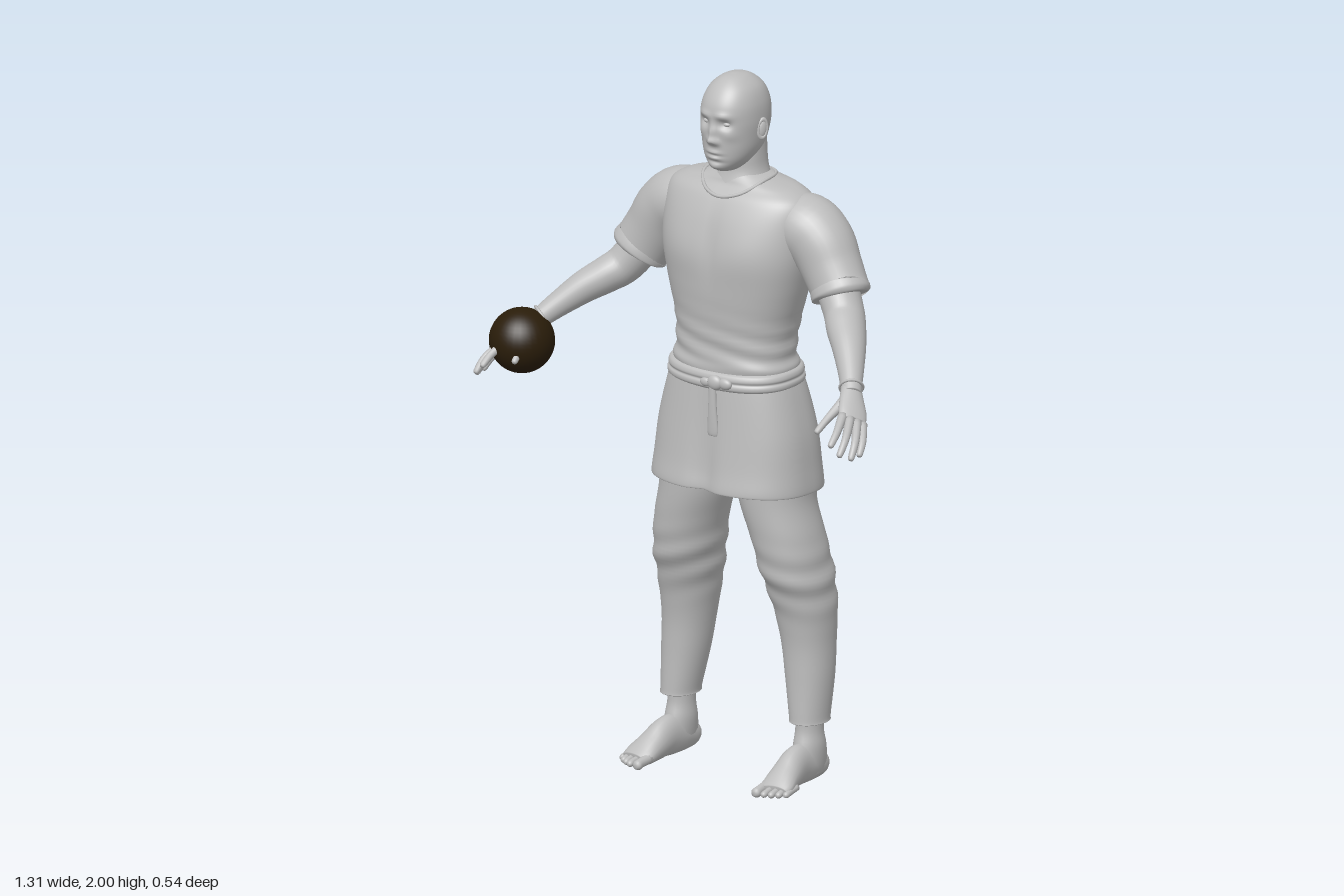
import * as THREE from 'three';

const V = (x, y, z) => new THREE.Vector3(x, y, z);
const gauss = (d, s) => Math.exp(-(d * d) / (s * s));

// Catmull-Rom interpolation of number rows, n steps between neighbours
function smooth(rows, n) {
  const out = [];
  const at = k => rows[Math.min(rows.length - 1, Math.max(0, k))];
  for (let i = 0; i < rows.length - 1; i++) {
    for (let j = 0; j < n; j++) {
      const t = j / n, a = at(i - 1), b = at(i), c = at(i + 1), d = at(i + 2);
      out.push(b.map((q, k) => 0.5 * (2 * q + (c[k] - a[k]) * t +
        (2 * a[k] - 5 * q + 4 * c[k] - d[k]) * t * t + (3 * q - a[k] - 3 * c[k] + d[k]) * t ** 3)));
    }
  }
  out.push(at(rows.length - 1));
  return out;
}

// Skin a list of rings, optionally closing both ends
function loft(rings, capped) {
  const n = rings[0].length, pos = [], idx = [];
  rings.forEach(r => r.forEach(p => pos.push(p.x, p.y, p.z)));
  for (let i = 0; i < rings.length - 1; i++) {
    for (let j = 0; j < n; j++) {
      const k = (j + 1) % n, a = i * n + j, b = a + n, c = (i + 1) * n + k, d = i * n + k;
      idx.push(a, b, c, a, c, d);
    }
  }
  if (capped) {
    [0, rings.length - 1].forEach((r, end) => {
      const m = V(0, 0, 0);
      rings[r].forEach(p => m.addScaledVector(p, 1 / n));
      const centre = pos.length / 3;
      pos.push(m.x, m.y, m.z);
      for (let j = 0; j < n; j++) {
        const a = r * n + j, b = r * n + (j + 1) % n;
        if (end) idx.push(centre, b, a); else idx.push(centre, a, b);
      }
    });
  }
  const g = new THREE.BufferGeometry();
  g.setAttribute('position', new THREE.Float32BufferAttribute(pos, 3));
  g.setIndex(idx);
  g.computeVertexNormals();
  return g;
}

// Level rings from top to bottom: [y, centreX, radiusX, zFront, zBack]
function body(rows, { seg = 64, steps = 5, power = 2.2, capped = false, deform } = {}) {
  const bend = q => Math.sign(q) * Math.abs(q) ** (2 / power);
  return loft(smooth(rows, steps).map(([y, cx, rx, zf, zb]) => Array.from({ length: seg }, (_, j) => {
    const a = j / seg * Math.PI * 2;
    const p = V(cx + rx * bend(Math.sin(a)), y, (zf + zb) / 2 + (zf - zb) / 2 * bend(Math.cos(a)));
    if (deform) deform(p, Math.cos(a), Math.sin(a));
    return p;
  })), capped);
}

// Rings across a path: [x, y, z, radius along "wide", other radius]
function limb(rows, { seg = 20, steps = 5, wide = V(0, 0, 1), deform } = {}) {
  const s = smooth(rows, steps);
  return loft(s.map((r, i) => {
    const a = s[Math.max(0, i - 1)], b = s[Math.min(s.length - 1, i + 1)];
    const t = V(b[0] - a[0], b[1] - a[1], b[2] - a[2]).normalize();
    const v = wide.clone().addScaledVector(t, -wide.dot(t)).normalize();
    const u = v.clone().cross(t);
    return Array.from({ length: seg }, (_, j) => {
      const q = j / seg * Math.PI * 2;
      const p = V(r[0], r[1], r[2]).addScaledVector(v, r[3] * Math.cos(q)).addScaledVector(u, (r[4] ?? r[3]) * Math.sin(q));
      if (deform) deform(p);
      return p;
    });
  }), true);
}

export function createModel() {
  const model = new THREE.Group();
  const grey = new THREE.MeshStandardMaterial({ color: 0xbcbcbc, side: THREE.DoubleSide });
  grey.name = 'pale grey';
  const brown = new THREE.MeshStandardMaterial({ color: 0x2a1d0a });
  brown.name = 'dark brown';
  const add = (name, geo, mat = grey) => {
    const m = new THREE.Mesh(geo, mat);
    m.name = name;
    model.add(m);
    return m;
  };
  const ball = (name, r, x, y, z, sx = 1, sy = 1, sz = 1, mat = grey) => {
    const m = add(name, new THREE.SphereGeometry(r, 32, 24), mat);
    m.position.set(x, y, z);
    m.scale.set(sx, sy, sz);
    return m;
  };

  // Head; each face feature is [x, y, spreadX, spreadY, push]
  const features = [[0, 1.829, 0.012, 0.011, 0.018], [0, 1.85, 0.01, 0.02, 0.012], [0.014, 1.825, 0.008, 0.008, 0.007],
    [0.033, 1.876, 0.018, 0.013, -0.014], [0.03, 1.9, 0.024, 0.009, 0.006], [0.05, 1.845, 0.018, 0.015, 0.004],
    [0, 1.794, 0.022, 0.006, 0.006], [0, 1.786, 0.024, 0.003, -0.004], [0, 1.778, 0.018, 0.006, 0.006],
    [0, 1.766, 0.025, 0.005, -0.004], [0, 1.75, 0.02, 0.012, 0.006]];
  add('head', body([[2, 0, 0.006, -0.085, -0.1], [1.992, 0, 0.035, -0.05, -0.14], [1.965, 0, 0.066, -0.016, -0.176],
    [1.925, 0, 0.082, 0.008, -0.197], [1.88, 0, 0.086, 0.013, -0.202], [1.84, 0, 0.083, 0.01, -0.195],
    [1.8, 0, 0.076, 0.008, -0.178], [1.77, 0, 0.063, 0.005, -0.15], [1.748, 0, 0.045, -0.002, -0.13], [1.735, 0, 0.028, -0.02, -0.11]],
  { seg: 96, steps: 8, capped: true, deform: (p, front) => {
    if (front <= 0.2) return;
    features.forEach(([x, y, sx, sy, d]) => { p.z += d * gauss(Math.abs(p.x) - x, sx) * gauss(p.y - y, sy); });
  } }));
  add('neck', body([[1.84, 0, 0.068, -0.06, -0.185], [1.77, 0, 0.068, -0.058, -0.188], [1.72, 0, 0.074, -0.056, -0.192],
    [1.66, 0, 0.1, -0.035, -0.2]], { seg: 40 }));

  // Shirt with chest, shoulder blades, spine hollow and waist folds
  add('shirt', body([[1.718, 0, 0.078, -0.06, -0.19], [1.703, 0, 0.12, -0.052, -0.2], [1.686, 0, 0.185, -0.043, -0.215],
    [1.655, 0, 0.228, -0.015, -0.235], [1.59, 0, 0.236, 0.015, -0.255], [1.5, 0, 0.23, 0.036, -0.258], [1.41, 0, 0.211, 0.036, -0.252],
    [1.3, 0, 0.183, 0.028, -0.236], [1.22, 0, 0.177, 0.026, -0.22], [1.185, 0, 0.186, 0.031, -0.226], [1.165, 0, 0.183, 0.028, -0.222]],
  { seg: 96, steps: 6, power: 2.3, deform: (p, front, side) => {
    const x = p.x, y = p.y;
    if (front < 0) {
      p.z += 0.02 * gauss(x, 0.035) * gauss(y - 1.43, 0.2);
      p.z -= 0.016 * gauss(Math.abs(x) - 0.1, 0.055) * gauss(y - 1.55, 0.1);
    } else {
      p.z += 0.005 * gauss(Math.abs(x) - 0.1, 0.07) * gauss(y - 1.52, 0.07);
      p.z -= 0.006 * gauss(x, 0.02) * gauss(y - 1.53, 0.09);
    }
    const fold = 0.003 * gauss(y - 1.25, 0.07) * Math.sin(y * 110 + 4 * side);
    p.x += fold * side;
    p.z += fold * front;
  } }));
  const collar = new THREE.CatmullRomCurve3([V(0, 1.662, -0.016), V(0.06, 1.675, -0.034), V(0.1, 1.706, -0.085),
    V(0.088, 1.712, -0.16), V(0, 1.708, -0.196), V(-0.088, 1.712, -0.16), V(-0.1, 1.706, -0.085), V(-0.06, 1.675, -0.034)], true);
  add('collar', new THREE.TubeGeometry(collar, 64, 0.005, 8, true));

  // Skirt of the tunic, with a hem turned inwards
  add('skirt', body([[1.18, 0, 0.18, 0.025, -0.22], [1.11, 0, 0.205, 0.034, -0.238], [1, 0, 0.232, 0.047, -0.258],
    [0.9, 0, 0.243, 0.06, -0.27], [0.845, 0, 0.248, 0.07, -0.277], [0.832, 0, 0.245, 0.068, -0.274], [0.842, 0, 0.23, 0.054, -0.26]],
  { seg: 96, power: 2.5, deform: (p, front) => {
    const low = THREE.MathUtils.clamp((1.17 - p.y) / 0.3, 0, 1);
    if (front > 0) p.z -= 0.02 * low * gauss(p.x, 0.035);
    else p.z += 0.02 * low * gauss(p.x, 0.04);
    p.y += low * 0.005 * front;
  } }));

  // Belt, knot and hanging end
  add('belt', body([[1.18, 0, 0.184, 0.026, -0.22], [1.174, 0, 0.195, 0.036, -0.23], [1.162, 0, 0.199, 0.04, -0.234],
    [1.154, 0, 0.196, 0.037, -0.231], [1.147, 0, 0.201, 0.042, -0.236], [1.135, 0, 0.2, 0.041, -0.235], [1.128, 0, 0.188, 0.03, -0.224]],
  { power: 2.4, steps: 3, deform: (p, front) => { p.y -= 0.006 * front; } }));
  ball('beltKnot', 0.024, 0.03, 1.147, 0.04, 1, 0.9, 0.6);
  ball('beltLoop', 0.02, 0.062, 1.147, 0.036, 1.1, 0.8, 0.6);
  ball('beltLoop', 0.016, -0.002, 1.143, 0.038, 1.2, 0.8, 0.6);
  add('beltEnd', limb([[0.024, 1.14, 0.043, 0.007, 0.011], [0.024, 1.07, 0.043, 0.008, 0.014],
    [0.025, 1.01, 0.042, 0.008, 0.018], [0.025, 0.995, 0.042, 0.006, 0.015]]));

  // Paired parts, for the left (+1) and right (-1) side
  for (const s of [1, -1]) {
    const label = n => (s > 0 ? 'left' : 'right') + n;
    const m = rows => rows.map(([x, ...rest]) => [x * s, ...rest]);

    ball(label('Eye'), 0.012, 0.033 * s, 1.876, -0.013, 1.1, 0.65, 1);
    const ear = new THREE.Group();
    ear.name = label('Ear');
    const rim = new THREE.Mesh(new THREE.TorusGeometry(0.018, 0.005, 8, 24), grey);
    rim.name = 'earRim';
    rim.scale.set(0.75, 1.4, 1);
    const lobe = new THREE.Mesh(new THREE.SphereGeometry(0.017, 16, 12), grey);
    lobe.name = 'earInside';
    lobe.scale.set(0.75, 1.4, 0.4);
    ear.add(rim, lobe);
    ear.position.set(0.089 * s, 1.853, -0.097);
    ear.rotation.set(-0.15, s * 1.1, 0);
    model.add(ear);

    add(label('Sleeve'), limb(m([[0.09, 1.6, -0.135, 0.07, 0.06], [0.2, 1.588, -0.138, 0.095, 0.092], [0.26, 1.55, -0.137, 0.092, 0.094],
      [0.302, 1.49, -0.13, 0.083, 0.087], [0.335, 1.44, -0.121, 0.078, 0.084], [0.341, 1.431, -0.118, 0.08, 0.086],
      [0.347, 1.421, -0.115, 0.079, 0.085], [0.349, 1.417, -0.114, 0.068, 0.074]]), { seg: 32 }));
    add(label('Arm'), limb(m([[0.32, 1.46, -0.122, 0.062, 0.06], [0.375, 1.382, -0.09, 0.058, 0.055], [0.412, 1.35, -0.052, 0.056, 0.051],
      [0.455, 1.318, -0.008, 0.048, 0.045], [0.5, 1.275, 0.043, 0.037, 0.036], [0.53, 1.243, 0.08, 0.03, 0.03], [0.545, 1.227, 0.098, 0.028, 0.026]]), { seg: 28 }));
    const band = add(label('WristBand'), new THREE.TorusGeometry(0.032, 0.004, 8, 28));
    band.position.set(0.532 * s, 1.241, 0.082);
    band.quaternion.setFromUnitVectors(V(0, 0, 1), V(0.52 * s, -0.55, 0.65).normalize());

    // Hand
    add(label('Palm'), limb(m([[0.53, 1.243, 0.08, 0.028, 0.024], [0.552, 1.219, 0.107, 0.035, 0.021],
      [0.578, 1.19, 0.137, 0.042, 0.018], [0.594, 1.174, 0.156, 0.038, 0.013]]), { wide: V(0.5 * s, -0.3, -0.75) }));
    const digits = [[[0.57, 1.19, 0.17], [0.592, 1.16, 0.225], [0.6, 1.128, 0.268]], [[0.588, 1.182, 0.162], [0.618, 1.145, 0.22], [0.626, 1.103, 0.262]],
      [[0.601, 1.172, 0.148], [0.633, 1.133, 0.197], [0.645, 1.09, 0.234]], [[0.609, 1.163, 0.133], [0.637, 1.127, 0.17], [0.648, 1.093, 0.2]],
      [[0.542, 1.218, 0.112], [0.528, 1.178, 0.178], [0.52, 1.143, 0.227]]];
    digits.forEach((d, i) => add(label(i < 4 ? 'Finger' : 'Thumb'), limb(m([[...d[0], 0.0135 + (i === 4) * 0.006], [...d[1], 0.011],
      [...d[2].map((q, k) => q * 0.85 + d[1][k] * 0.15), 0.009], [...d[2], 0.003]]), { seg: 12, steps: 4 })));

    // Trouser leg with folds around the knee
    const legRows = [[1.05, 0.1, 0.1, 0.0, -0.21], [0.9, 0.125, 0.112, 0.005, -0.22], [0.8, 0.137, 0.104, 0.004, -0.213],
      [0.7, 0.165, 0.098, -0.004, -0.222], [0.6, 0.184, 0.094, -0.02, -0.237], [0.5, 0.197, 0.085, -0.055, -0.241], [0.4, 0.205, 0.073, -0.074, -0.234],
      [0.3, 0.213, 0.065, -0.077, -0.222], [0.19, 0.221, 0.052, -0.074, -0.202], [0.172, 0.222, 0.051, -0.074, -0.2], [0.174, 0.222, 0.038, -0.088, -0.187]];
    add(label('TrouserLeg'), body(legRows.map(([y, cx, ...rest]) => [y, cx * s, ...rest]),
      { seg: 48, steps: 8, power: 2.1, deform: (p, front, side) => {
        const fold = 0.004 * gauss(p.y - 0.58, 0.08) * Math.sin(p.y * 75 + 2 * side * s + front);
        p.x += fold * side;
        p.z += fold * front;
      } }));

    // Bare foot with five toes
    add(label('Ankle'), limb(m([[0.22, 0.22, -0.138, 0.045, 0.04], [0.22, 0.15, -0.138, 0.043, 0.037],
      [0.221, 0.1, -0.137, 0.054, 0.041], [0.222, 0.05, -0.137, 0.061, 0.037], [0.222, 0.02, -0.137, 0.058, 0.03]])));
    const flat = p => { p.y = Math.max(p.y, 0.002); };
    add(label('Foot'), limb(m([[0.22, 0.03, -0.2, 0.01, 0.012], [0.22, 0.036, -0.188, 0.029, 0.032], [0.221, 0.048, -0.14, 0.036, 0.05],
      [0.223, 0.057, -0.075, 0.037, 0.058], [0.23, 0.039, -0.015, 0.044, 0.042], [0.237, 0.023, 0.03, 0.05, 0.026], [0.24, 0.017, 0.052, 0.042, 0.016]]),
    { wide: V(1, 0, 0), deform: flat }));
    for (let i = 0; i < 5; i++) {
      const x = [0.204, 0.23, 0.249, 0.266, 0.281][i], tip = [0.092, 0.09, 0.082, 0.071, 0.056][i], r = i ? 0.0095 : 0.014;
      add(label('Toe'), limb(m([[x - 0.003, 0.022, tip - 0.06, r, r], [x, 0.017, tip - 0.025, r * 0.9, r],
        [x, 0.013, tip - 0.007, r, r * 0.95], [x, 0.012, tip, r * 0.4, r * 0.4]]), { seg: 12, steps: 3, wide: V(1, 0, 0), deform: flat }));
    }
  }

  // Ball held in the right hand
  ball('heldBall', 0.091, -0.56, 1.18, 0.137, 1, 1, 1, brown);
  return model;
}
